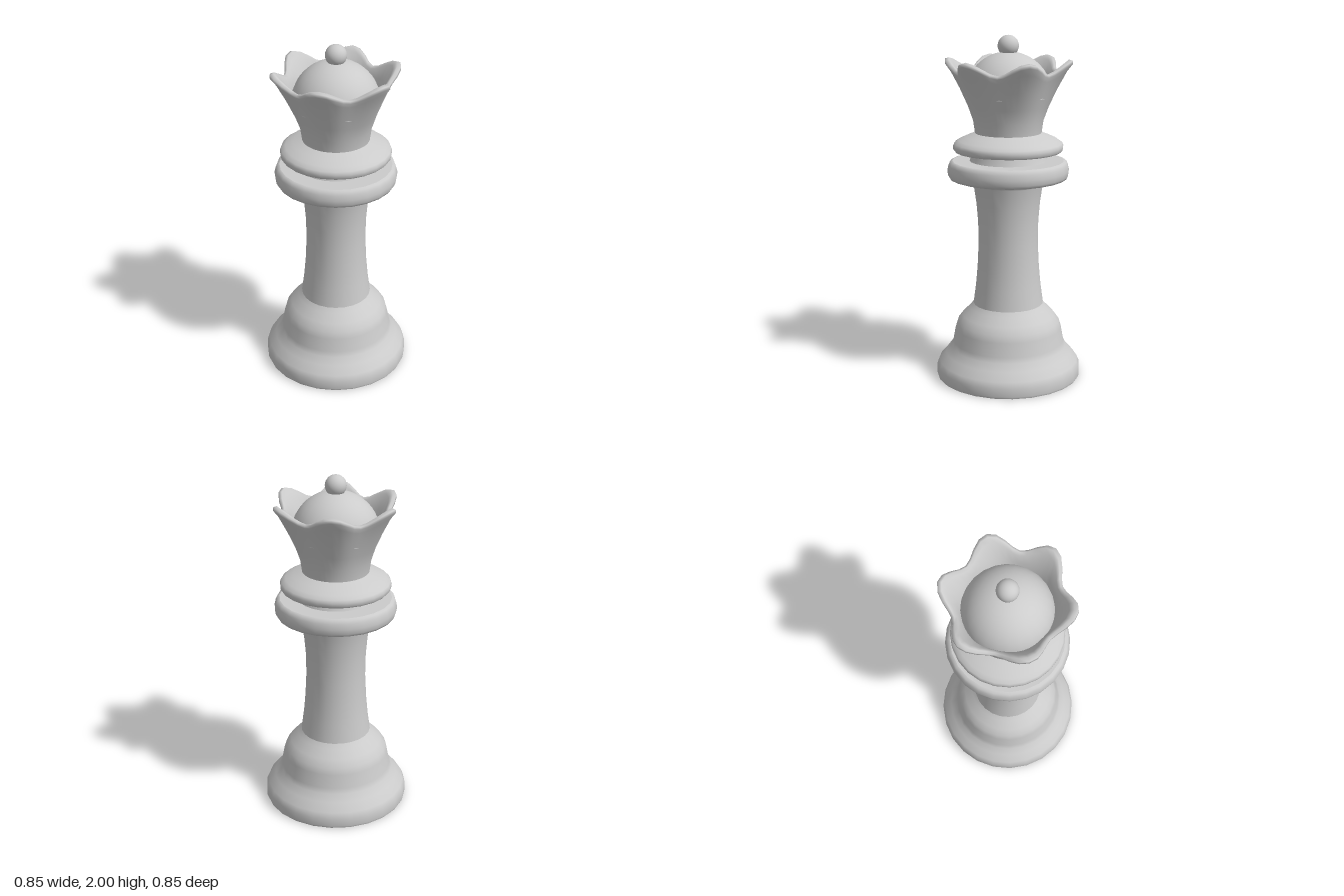
import * as THREE from 'three';
import { mergeVertices } from 'three/addons/utils/BufferGeometryUtils.js';

const material = new THREE.MeshStandardMaterial({ color: 0xcccccc });
const SIDES = 24;

function addMesh(group, name, geometry, y = 0) {
  const mesh = new THREE.Mesh(geometry, material);
  mesh.name = name;
  mesh.position.y = y;
  group.add(mesh);
}

// Turned part from a list of [radius, height], bottom to top
function turned(profile, sides = SIDES) {
  return new THREE.LatheGeometry(profile.map(([r, y]) => new THREE.Vector2(r, y)), sides);
}

// Flared crown: each row is [radius, height, extra radius, extra height at the six points]
function crownGeometry() {
  const rows = [
    [0.19, 1.45, 0, 0], [0.2, 1.52, 0, 0], [0.225, 1.6, 0.005, 0], [0.26, 1.69, 0.02, 0.015],
    [0.285, 1.755, 0.05, 0.05], [0.297, 1.78, 0.07, 0.065], [0.296, 1.793, 0.07, 0.07],
    [0.284, 1.799, 0.06, 0.07], [0.268, 1.787, 0.05, 0.06], [0.25, 1.74, 0.015, 0.025], [0.24, 1.68, 0, 0],
  ];
  const geo = turned(rows, 48);
  const pos = geo.attributes.position;
  for (let i = 0; i < pos.count; i++) {
    const [r, y, dr, dy] = rows[i % rows.length];
    const angle = Math.atan2(pos.getX(i), pos.getZ(i));
    const peak = (1 + Math.cos(6 * angle)) / 2;
    const radius = r + dr * peak;
    pos.setXYZ(i, radius * Math.sin(angle), y + dy * peak, radius * Math.cos(angle));
  }
  geo.deleteAttribute('uv');
  geo.deleteAttribute('normal');
  const merged = mergeVertices(geo, 1e-4);
  merged.computeVertexNormals();
  return merged;
}

export function createModel() {
  const group = new THREE.Group();
  group.name = 'chessQueen';

  addMesh(group, 'baseUnderside', turned([[0, 0], [0.42, 0]]));
  addMesh(group, 'base', turned([
    [0.42, 0], [0.425, 0.012], [0.425, 0.06], [0.41, 0.095], [0.37, 0.14], [0.34, 0.18], [0.327, 0.21],
    [0.312, 0.29], [0.3, 0.33], [0.27, 0.37], [0.225, 0.415], [0.205, 0.44],
  ]));
  addMesh(group, 'stem', turned([
    [0.205, 0.44], [0.19, 0.55], [0.18, 0.66], [0.173, 0.8], [0.175, 0.93], [0.184, 1.04], [0.2, 1.15],
    [0.21, 1.163], [0.24, 1.175], [0.32, 1.184],
  ]));

  // Wide lower collar
  addMesh(group, 'lowerCollar', turned([
    [0.32, 1.184], [0.337, 1.19], [0.345, 1.205], [0.35, 1.235], [0.343, 1.265], [0.335, 1.284], [0.32, 1.29],
  ]));
  addMesh(group, 'lowerCollarTop', turned([[0.32, 1.29], [0.2, 1.29]]));
  addMesh(group, 'neck', turned([[0.222, 1.29], [0.214, 1.31], [0.203, 1.345]]));

  // Sloping upper collar
  addMesh(group, 'upperCollarUnderside', turned([[0.19, 1.345], [0.305, 1.345]]));
  addMesh(group, 'upperCollar', turned([
    [0.305, 1.345], [0.314, 1.355], [0.316, 1.375], [0.309, 1.392], [0.285, 1.409], [0.24, 1.43], [0.18, 1.453],
  ]));

  addMesh(group, 'crown', crownGeometry());
  addMesh(group, 'dome', new THREE.SphereGeometry(0.25, SIDES, 10, 0, Math.PI * 2, 0, Math.PI / 2), 1.658);
  addMesh(group, 'finial', new THREE.SphereGeometry(0.06, SIDES, 14), 1.94);
  return group;
}
